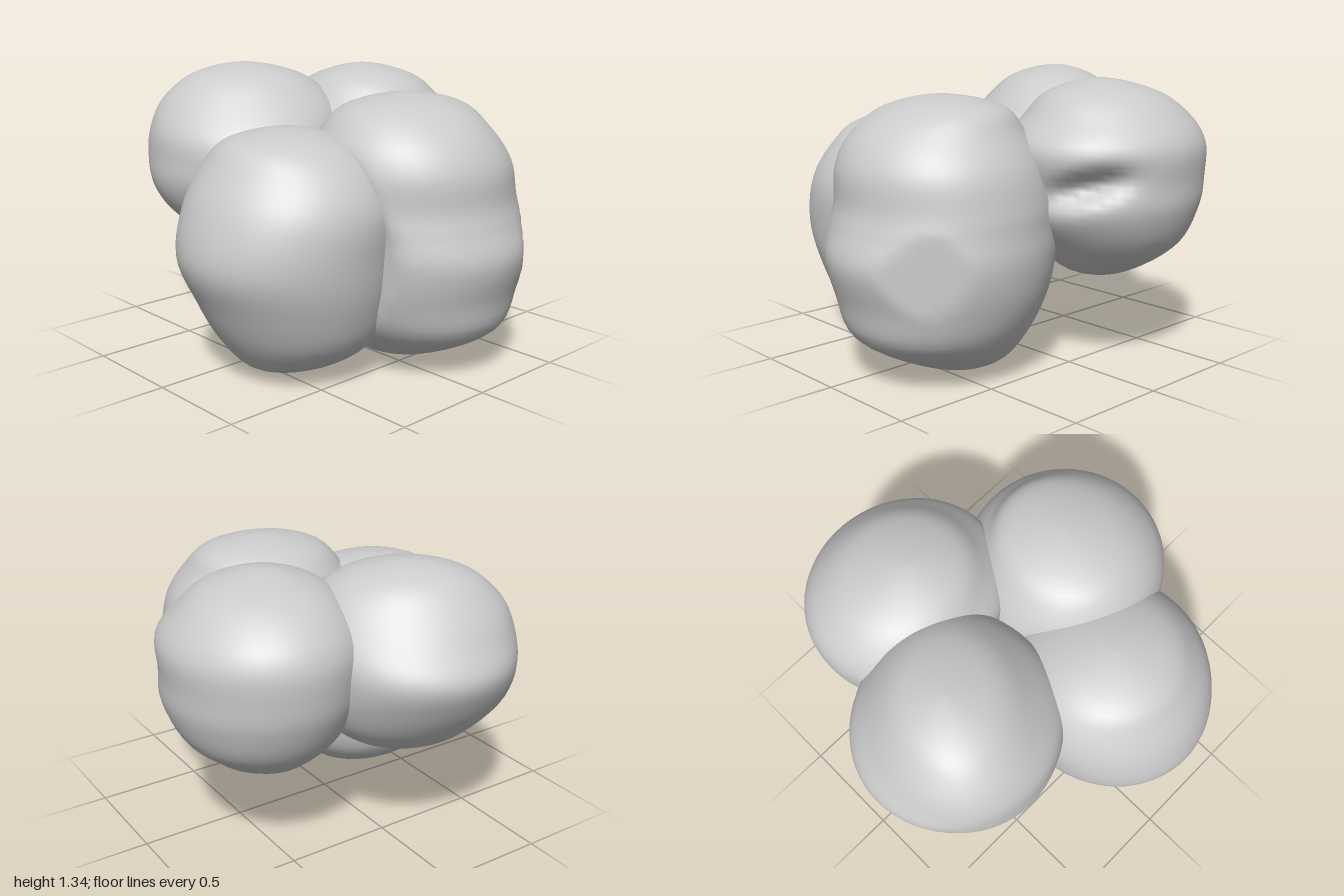
import * as THREE from 'three';

// Each lobe is a stack of oval cross-sections: [y, xMin, xMax, zMin, zMax]
const LOBES = {
  frontLobe: [
    [0, .16, .16, .4, .4], [.05, -.08, .37, .17, .62], [.2, -.25, .52, .04, .89],
    [.38, -.34, .6, -.04, .955], [.56, -.37, .63, -.08, 1], [.7, -.38, .62, -.08, .96],
    [.8, -.38, .61, -.07, .93], [.96, -.37, .57, -.03, .91], [1.1, -.31, .48, .05, .82],
    [1.21, -.18, .38, .17, .66], [1.26, .1, .1, .42, .42],
  ],
  rightLobe: [
    [.02, -.4, -.4, .18, .18], [.05, -.63, -.14, .02, .4], [.18, -.76, 0, -.15, .58],
    [.38, -.87, .05, -.23, .66], [.58, -.95, .08, -.27, .69], [.8, -.9, .08, -.27, .69],
    [.97, -.8, 0, -.2, .6], [1.08, -.69, -.18, -.06, .45], [1.13, -.43, -.43, .2, .2],
  ],
  leftLobe: [
    [.4, .52, .52, -.23, -.23], [.44, .34, .67, -.44, -.02], [.57, .16, .85, -.6, .12],
    [.74, .07, .93, -.69, .24], [.88, .05, .94, -.72, .25], [1.03, .05, .94, -.72, .26],
    [1.15, .12, .86, -.65, .16], [1.26, .23, .72, -.49, .03], [1.32, .46, .46, -.22, -.22],
  ],
  backLobe: [
    [.47, -.12, -.12, -.5, -.5], [.51, -.35, .12, -.7, -.3], [.62, -.51, .27, -.83, -.15],
    [.77, -.59, .34, -.94, -.04], [.91, -.6, .36, -1, 0], [1.04, -.58, .36, -.94, -.02],
    [1.18, -.49, .29, -.85, -.13], [1.29, -.34, .14, -.73, -.28], [1.34, -.1, -.1, -.52, -.52],
  ],
};

const { smoothstep } = THREE.MathUtils;

// Final shaping of single lobes, applied point by point
const SHAPING = {
  // Flattened where the front lobe meets its neighbour and on the opposite front corner
  frontLobe(p) {
    p.x = Math.max(p.x, -.29 - .05 * smoothstep(p.y, .65, .95));
    const excess = Math.max(0, p.x + p.z - 1.27) / 2;
    p.x -= excess;
    p.z -= excess;
  },
  // Sloping crease under the overhang at the front
  leftLobe(p) {
    const yCrease = .87 + (p.x - .72) * .35;
    const g = Math.exp(-(((p.x - .72) / .2) ** 2) - ((p.y - yCrease) / .06) ** 2
      - ((p.z - .15) / .15) ** 2);
    p.x -= .04 * g;
    p.z -= .09 * g;
  },
  // Upper part narrowed across one diagonal and lengthened along the other
  backLobe(p) {
    const upper = smoothstep(p.y, .9, 1.2), lower = 1 - smoothstep(p.y, .7, .9);
    const dx = p.x + .11, dz = p.z + .5;
    const across = (dx - dz) / 2 * (1 - .12 * upper);
    const along = (dx + dz) / 2 * (1 + .1 * upper + .05 * lower);
    p.x = -.11 + along + across;
    p.z = -.5 + along - across;
  },
};

// Mirrored section beyond a pole, so the profile passes through it smoothly
const mirror = ([y, a, b, c, d]) => [y, b, a, d, c];

function catmull(p0, p1, p2, p3, t) {
  return 0.5 * (2 * p1 + (p2 - p0) * t + (2 * p0 - 5 * p1 + 4 * p2 - p3) * t * t
    + (3 * p1 - p0 - 3 * p2 + p3) * t * t * t);
}

function lobeGeometry(sections, shape) {
  const n = sections.length - 1, steps = 5, rows = n * steps, cols = 64;
  const s = [mirror(sections[1]), ...sections, mirror(sections[n - 1])];
  // The sphere supplies the grid, seam and winding; its rows run top to bottom
  const geo = new THREE.SphereGeometry(1, cols, rows);
  const pos = geo.attributes.position;
  for (let r = 0; r <= rows; r++) {
    const u = rows - r, i = Math.min(Math.floor(u / steps), n - 1), t = u / steps - i;
    const [y, x0, x1, z0, z1] = s[0].map((_, k) =>
      catmull(s[i][k], s[i + 1][k], s[i + 2][k], s[i + 3][k], t));
    for (let c = 0; c <= cols; c++) {
      const a = (c % cols) / cols * Math.PI * 2;
      const p = new THREE.Vector3(
        (x0 + x1) / 2 - Math.cos(a) * (x1 - x0) / 2, y,
        (z0 + z1) / 2 + Math.sin(a) * (z1 - z0) / 2);
      if (shape) shape(p);
      pos.setXYZ(r * (cols + 1) + c, p.x, p.y, p.z);
    }
  }
  geo.computeVertexNormals();
  // Share normals across the seam
  const nor = geo.attributes.normal;
  for (let r = 0; r <= rows; r++) {
    const a = r * (cols + 1), b = a + cols;
    const v = new THREE.Vector3().fromBufferAttribute(nor, a)
      .add(new THREE.Vector3().fromBufferAttribute(nor, b)).normalize();
    nor.setXYZ(a, v.x, v.y, v.z);
    nor.setXYZ(b, v.x, v.y, v.z);
  }
  return geo;
}

export function createModel() {
  const group = new THREE.Group();
  group.name = 'lobedCluster';
  const material = new THREE.MeshStandardMaterial({ color: 0xcccccc });
  for (const [name, sections] of Object.entries(LOBES)) {
    const mesh = new THREE.Mesh(lobeGeometry(sections, SHAPING[name]), material);
    mesh.name = name;
    group.add(mesh);
  }
  return group;
}
